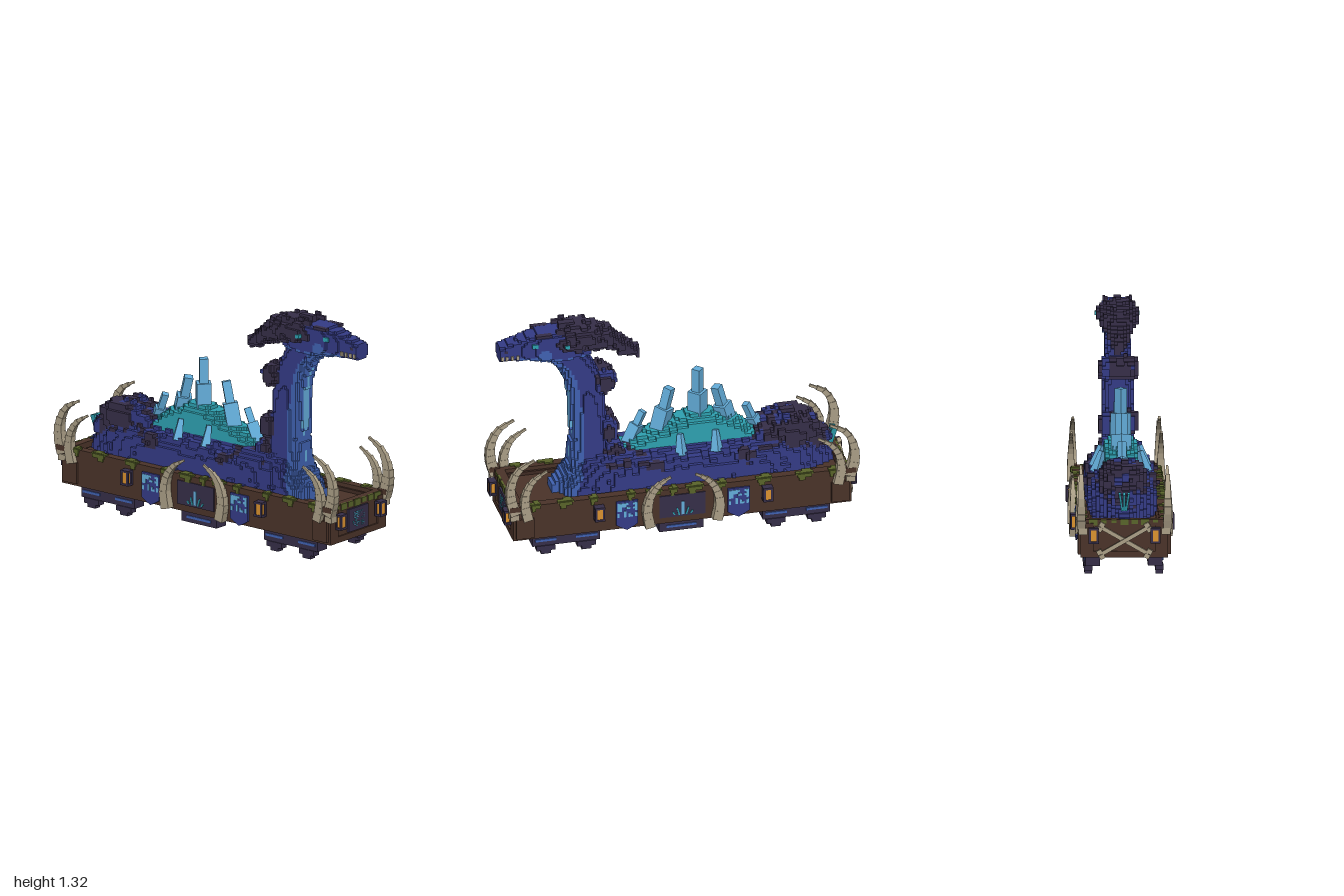
import * as THREE from 'three';

const COLORS = {
  timber: 0x4a3329, darkTimber: 0x3e2a22, slate: 0x362e48, indigo: 0x343b86, blue: 0x4062b2,
  teal: 0x2ea1b1, ice: 0x64aedb, ivory: 0xaa9e86, amber: 0xdb922f, moss: 0x59642a,
};

// Piecewise linear profile lookup: points are [t, value]
function prof(points, t) {
  if (t <= points[0][0]) return points[0][1];
  for (let i = 1; i < points.length; i++) {
    const [a, va] = points[i - 1], [b, vb] = points[i];
    if (t <= b) return va + (vb - va) * (t - a) / (b - a);
  }
  return points[points.length - 1][1];
}

// Repeatable noise in 0..1
function hash(a, b, c) {
  const s = Math.sin(a * 127.1 + b * 311.7 + c * 74.7) * 43758.5453;
  return s - Math.floor(s);
}

export function createModel() {
  const root = new THREE.Group();
  root.name = 'dragonWagon';
  const mats = {};
  for (const [name, hex] of Object.entries(COLORS)) {
    mats[name] = new THREE.MeshStandardMaterial({ color: hex });
    mats[name].name = name;
  }

  function add(geo, mat, name, parent = root) {
    const m = new THREE.Mesh(geo, mats[mat]);
    m.name = name;
    parent.add(m);
    return m;
  }
  function box(name, mat, w, h, d, x, y, z, parent = root) {
    const m = add(new THREE.BoxGeometry(w, h, d), mat, name, parent);
    m.position.set(x, y, z);
    return m;
  }

  // Blocky solid: pick(x,y,z,i,j,k) gives a colour name or null; only outer faces are made
  const FACES = [[1, 0, 0], [-1, 0, 0], [0, 1, 0], [0, -1, 0], [0, 0, 1], [0, 0, -1]].map(n => {
    const N = new THREE.Vector3(...n), U = new THREE.Vector3(n[1], n[2], n[0]), V = N.clone().cross(U);
    const corner = (a, b) => N.clone().addScaledVector(U, a).addScaledVector(V, b);
    return { n, quad: [[-1, -1], [1, -1], [1, 1], [-1, -1], [1, 1], [-1, 1]].map(c => corner(...c)) };
  });
  function blocks(name, s, min, max, pick) {
    const cells = new Map(), out = {};
    const lo = min.map(v => Math.floor(v / s)), hi = max.map(v => Math.ceil(v / s));
    for (let i = lo[0]; i <= hi[0]; i++) for (let j = lo[1]; j <= hi[1]; j++) for (let k = lo[2]; k <= hi[2]; k++) {
      const c = pick(i * s, j * s, k * s, i, j, k);
      if (c) cells.set(`${i},${j},${k}`, [i, j, k, c]);
    }
    for (const [i, j, k, c] of cells.values()) for (const { n, quad } of FACES) {
      if (cells.has(`${i + n[0]},${j + n[1]},${k + n[2]}`)) continue;
      const arr = out[c] ??= [];
      for (const q of quad) arr.push((i + q.x / 2) * s, (j + q.y / 2) * s, (k + q.z / 2) * s);
    }
    const group = new THREE.Group();
    group.name = name;
    for (const [c, arr] of Object.entries(out)) {
      const g = new THREE.BufferGeometry();
      g.setAttribute('position', new THREE.Float32BufferAttribute(arr, 3));
      g.computeVertexNormals();
      add(g, c, `${name}_${c}`, group);
    }
    root.add(group);
  }

  // ---- Wagon hull, deck and rim ----
  for (const s of [1, -1]) {
    box('sideWall', 'timber', 1.89, 0.2, 0.035, 0, 0.215, s * 0.222);
    box('sideRim', 'timber', 1.9, 0.035, 0.05, 0, 0.307, s * 0.218);
    box('endWall', 'timber', 0.035, 0.2, 0.42, s * 0.928, 0.215, 0);
    box('endRim', 'timber', 0.05, 0.035, 0.48, s * 0.922, 0.307, 0);
    for (const t of [1, -1]) {
      box('endPost', 'timber', 0.02, 0.19, 0.07, s * 0.945, 0.21, t * 0.205);
      box('cornerFoot', 'timber', 0.1, 0.12, 0.02, s * 0.89, 0.19, t * 0.245);
    }
    box('endSill', 'timber', 0.02, 0.035, 0.46, s * 0.945, 0.132, 0);
    box('innerRim', 'darkTimber', 1.8, 0.02, 0.015, 0, 0.292, s * 0.187);
  }
  box('deck', 'timber', 1.86, 0.02, 0.42, 0, 0.272, 0);

  // ---- Moss patches draped over the rim: [centre x, length] ----
  const mossSpots = [[-0.85, 0.05], [-0.69, 0.1], [-0.46, 0.09], [-0.22, 0.06], [-0.07, 0.1], [0.05, 0.05],
    [0.16, 0.09], [0.29, 0.05], [0.5, 0.05], [0.66, 0.09], [0.83, 0.06]];
  for (const s of [1, -1]) {
    for (const [x, len] of mossSpots) {
      box('mossTop', 'moss', len, 0.012, 0.025, x, 0.326, s * 0.233);
      box('mossTuft', 'moss', len * 0.5, 0.014, 0.045, x - len * 0.15, 0.326, s * 0.223);
      box('mossDrape', 'moss', len * 0.8, 0.022, 0.01, x, 0.317, s * 0.247);
      box('mossDrip', 'moss', len * 0.35, 0.04, 0.01, x + len * 0.15, 0.308, s * 0.246);
    }
    for (let i = 0; i < 7; i++) {
      const r = hash(i, s, 8);
      box('mossEnd', 'moss', 0.012, 0.014 + r * 0.03, 0.025 + r * 0.03, s * 0.945, 0.316 - r * 0.01, (i - 3) * 0.057);
    }
  }

  // ---- Undercarriage ----
  for (const s of [1, -1]) {
    box('skirtBox', 'slate', 0.25, 0.065, 0.08, 0, 0.082, s * 0.175);
    box('skirtStripe', 'blue', 0.17, 0.014, 0.006, 0, 0.08, s * 0.217);
    for (const e of [1, -1]) {
      box('bogieFrame', 'slate', 0.38, 0.07, 0.08, e * 0.65, 0.085, s * 0.172);
      for (const d of [-0.115, 0.115]) {
        const x = e * 0.65 + d;
        box('bogieStripe', 'blue', 0.12, 0.014, 0.006, x, 0.085, s * 0.215);
        box('wheelUpper', 'slate', 0.105, 0.03, 0.045, x, 0.036, s * 0.195);
        box('wheelFoot', 'slate', 0.055, 0.022, 0.04, x, 0.011, s * 0.195);
      }
    }
  }

  // ---- Lanterns, on the sides and on the ends ----
  function lantern(x, z, turn) {
    const g = new THREE.Group();
    g.name = 'lantern';
    g.position.set(x, 0.24, z);
    g.rotation.y = turn;
    root.add(g);
    for (const y of [-0.037, 0.037]) box('lanternCap', 'slate', 0.056, 0.012, 0.042, 0, y, 0, g);
    for (const a of [1, -1]) for (const b of [1, -1])
      box('lanternPost', 'slate', 0.012, 0.075, 0.01, a * 0.021, 0, b * 0.016, g);
    box('lanternGlow', 'amber', 0.034, 0.063, 0.034, 0, 0, 0, g);
  }
  for (const s of [1, -1]) for (const e of [1, -1]) {
    lantern(e * 0.475, s * 0.264, 0);
    lantern(e * 0.974, s * 0.17, Math.PI / 2);
  }

  // ---- Windows, emblems and banners on both long sides ----
  const shield = new THREE.Shape();
  [[-0.062, 0.085], [0.062, 0.085], [0.062, -0.06], [0.03, -0.08], [0, -0.095], [-0.03, -0.08], [-0.062, -0.06]]
    .forEach(([x, y], i) => i ? shield.lineTo(x, y) : shield.moveTo(x, y));
  const shieldGeo = new THREE.ExtrudeGeometry(shield, { depth: 0.01, bevelEnabled: false });
  for (const s of [1, -1]) {
    const side = new THREE.Group();
    side.name = 'sideDecor';
    side.rotation.y = s > 0 ? 0 : Math.PI;
    root.add(side);
    // Outer and inner face of the window
    for (const [z, out] of [[0.242, 1], [0.202, -1]]) {
      box('sideWindow', 'slate', 0.26, 0.135, 0.008, 0, 0.22, z, side);
      box('crystalEmblem', 'ice', 0.016, 0.08, 0.006, 0, 0.205, z + out * 0.006, side);
      for (const e of [1, -1]) {
        box('emblemShard', out > 0 ? 'teal' : 'ice', 0.008, 0.045, 0.006, e * 0.026, 0.185, z + out * 0.006, side).rotation.z = -e * 0.3;
        box('emblemSpark', 'teal', 0.008, 0.02, 0.006, e * 0.05, 0.175, z + out * 0.006, side).rotation.z = -e * 0.6;
      }
    }
    for (const x of [-0.315, 0.315]) {
      add(shieldGeo, 'indigo', 'banner', side).position.set(x, 0.205, 0.243);
      for (let i = 0; i < 9; i++) for (let j = 0; j < 8; j++) {
        const arch = Math.abs(i - 4) + Math.abs(j - 3) > 4 || j === 7;
        if (j > 0 && hash(i, j, 5) > (arch ? 0.25 : 0.6))
          box('bannerPattern', 'ice', 0.0125, 0.0125, 0.004, x + (i - 4) * 0.0125, 0.185 + j * 0.0125, 0.254, side);
      }
    }
  }

  // ---- Front end window with a speckled emblem ----
  box('endWindow', 'slate', 0.016, 0.13, 0.17, 0.95, 0.22, 0);
  for (let i = 0; i < 11; i++) for (let j = 0; j < 9; j++)
    if (hash(i, j, 2) > 0.6) box('endEmblem', i % 3 ? 'teal' : 'ice', 0.004, 0.005, 0.006, 0.959, 0.18 + j * 0.01, (i - 5) * 0.009);

  // ---- Crossed bones on the back end ----
  for (const s of [1, -1]) {
    const bone = new THREE.Group();
    bone.name = 'crossedBone';
    bone.position.set(-0.965 - s * 0.008, 0.21, 0);
    bone.rotation.x = s * 1.05;
    root.add(bone);
    box('boneShaft', 'ivory', 0.018, 0.3, 0.022, 0, 0, 0, bone);
    for (const e of [1, -1]) for (const k of [1, -1])
      box('boneKnob', 'ivory', 0.024, 0.03, 0.025, 0, e * 0.15, k * 0.014, bone);
  }

  // ---- Tusks: tapering segments along a curve ----
  function tusk(points, thick, z) {
    const curve = new THREE.CatmullRomCurve3(points.map(([x, y]) => new THREE.Vector3(x, y, z)));
    const n = 9, g = new THREE.Group();
    g.name = 'tusk';
    root.add(g);
    for (let i = 0; i < n; i++) {
      const a = curve.getPoint(i / n), b = curve.getPoint((i + 1) / n);
      const w = thick * (1 - 0.75 * Math.pow(i / (n - 1), 1.5));
      const m = box('tuskSegment', 'ivory', w, a.distanceTo(b) + 0.012, w * 0.8, 0, 0, 0, g);
      m.position.copy(a).lerp(b, 0.5);
      m.quaternion.setFromUnitVectors(new THREE.Vector3(0, 1, 0), b.clone().sub(a).normalize());
    }
  }
  for (const s of [1, -1]) for (const e of [1, -1]) {
    const mir = pts => pts.map(([x, y]) => [x * e, y]);
    tusk(mir([[0.945, 0.29], [0.968, 0.37], [0.968, 0.46], [0.925, 0.55], [0.84, 0.6]]), 0.06, s * 0.237);
    tusk(mir([[0.875, 0.25], [0.892, 0.33], [0.885, 0.41], [0.845, 0.48], [0.77, 0.53]]), 0.054, s * 0.247);
    tusk(mir([[0.19, 0.125], [0.205, 0.22], [0.185, 0.31], [0.14, 0.37], [0.075, 0.41]]), 0.055, s * 0.261);
    box('tuskCuff', 'timber', 0.06, 0.03, 0.05, e * 0.948, 0.32, s * 0.237);
    box('tuskSocket', 'ivory', 0.05, 0.035, 0.05, e * 0.948, 0.262, s * 0.228);
  }

  // ---- Body lying along the deck ----
  const bodyW = [[-0.92, 0.03], [-0.85, 0.07], [-0.7, 0.14], [-0.5, 0.185], [-0.3, 0.195], [0.3, 0.195], [0.45, 0.17], [0.6, 0.11], [0.67, 0.05]];
  const bodyH = [[-0.92, 0.34], [-0.8, 0.42], [-0.7, 0.5], [-0.5, 0.51], [0.2, 0.51], [0.35, 0.53], [0.5, 0.5], [0.6, 0.42], [0.67, 0.34]];
  blocks('body', 0.02, [-0.92, 0.26, -0.2], [0.67, 0.56, 0.2], (x, y, z, i, j, k) => {
    const t = (y - 0.25) / (prof(bodyH, x) - 0.25);
    const r = t ** 4 + Math.abs(z / prof(bodyW, x)) ** 3 + (hash(i >> 1, j, k >> 1) - 0.5) * 0.22;
    if (r > 1) return null;
    if (x > 0.53 && y < 0.46) return 'blue';
    const ridge = (x > 0.16 && x < 0.42) || (x < -0.42 && x > -0.8);
    return ridge && t > 0.75 && hash(i >> 1, j >> 1, k >> 1) > 0.5 ? 'slate' : 'indigo';
  });

  // ---- Neck with pale belly and a narrow glowing centre stripe ----
  const neckF = [[0.33, 0.64], [0.42, 0.595], [0.6, 0.575], [0.8, 0.58], [0.95, 0.6], [1.05, 0.645], [1.1, 0.7], [1.14, 0.8]];
  const neckB = [[0.33, 0.35], [0.6, 0.375], [0.85, 0.39], [1, 0.425], [1.1, 0.47], [1.2, 0.52]];
  const neckW = [[0.33, 0.15], [0.42, 0.12], [0.5, 0.09], [0.9, 0.08], [1.1, 0.068]];
  blocks('neck', 0.016, [0.34, 0.3, -0.16], [0.8, 1.15, 0.16], (x, y, z) => {
    const f = prof(neckF, y), b = prof(neckB, y);
    const u = (x - (f + b) / 2) / ((f - b) / 2), v = z / prof(neckW, y);
    if (Math.abs(u) ** 3 + Math.abs(v) ** 3 > 1) return null;
    const stripe = Math.abs(z) < (y > 0.66 && y < 0.9 ? 0.017 : 0.01) && ((y > 0.62 && y < 1.02) || (y > 0.47 && y < 0.53));
    if (u > 0.5 && stripe) return 'ice';
    return u > 0.45 ? 'blue' : 'indigo';
  });

  // ---- Head ----
  const headT = [[0.48, 1.24], [0.6, 1.285], [0.74, 1.285], [0.85, 1.255], [0.98, 1.218]];
  const headB = [[0.48, 1.12], [0.62, 1.1], [0.75, 1.118], [0.85, 1.132], [0.98, 1.135]];
  const headW = [[0.48, 0.07], [0.62, 0.09], [0.75, 0.082], [0.85, 0.061], [0.98, 0.047]];
  blocks('head', 0.015, [0.48, 1.08, -0.1], [0.975, 1.3, 0.1], (x, y, z) => {
    const t = prof(headT, x), b = prof(headB, x);
    const v = (y - (t + b) / 2) / ((t - b) / 2);
    if (Math.abs(v) ** 4 + Math.abs(z / prof(headW, x)) ** 4 > 1) return null;
    const cheek = ((x - 0.735) / 0.045) ** 2 + ((y - 1.16) / 0.03) ** 2 < 1;
    return cheek || (v < -0.75 && x < 0.88) ? 'blue' : 'indigo';
  });
  box('crownKnob', 'slate', 0.09, 0.04, 0.04, 0.6, 1.298, 0);
  for (const s of [1, -1]) {
    box('eye', 'teal', 0.034, 0.024, 0.012, 0.79, 1.225, s * 0.077);
    box('earGem', 'teal', 0.026, 0.02, 0.03, 0.62, 1.22, s * 0.108);
    box('nostril', 'slate', 0.02, 0.014, 0.01, 0.95, 1.195, s * 0.048);
    box('brow', 'slate', 0.09, 0.016, 0.03, 0.74, 1.275, s * 0.062);
    box('browHorn', 'slate', 0.06, 0.03, 0.018, 0.64, 1.29, s * 0.062);
    box('browHornTip', 'slate', 0.035, 0.022, 0.014, 0.61, 1.308, s * 0.073);
    for (const x of [0.885, 0.915, 0.945, 0.97])
      box('tooth', 'ivory', 0.015, 0.024, 0.012, x, 1.156, s * (0.057 - (x - 0.88) * 0.09));
  }

  // ---- Swept-back crest ----
  const crestY = [[0.2, 1.09], [0.3, 1.145], [0.36, 1.195], [0.5, 1.23], [0.66, 1.22]];
  const crestH = [[0.2, 0.032], [0.3, 0.05], [0.4, 0.07], [0.5, 0.076], [0.6, 0.072], [0.66, 0.04]];
  const crestW = [[0.2, 0.035], [0.3, 0.06], [0.4, 0.09], [0.5, 0.115], [0.62, 0.115], [0.66, 0.09]];
  blocks('crest', 0.018, [0.2, 1.04, -0.13], [0.66, 1.31, 0.13], (x, y, z, i, j, k) => {
    const r = ((y - prof(crestY, x)) / prof(crestH, x)) ** 2 + Math.abs(z / prof(crestW, x)) ** 3;
    return r + (hash(i >> 1, j >> 1, k >> 1) - 0.5) * 0.6 < 1 ? 'slate' : null;
  });

  // ---- Rough scale clumps: [x, y, z, rx, ry, rz] ----
  const clumps = [
    [-0.65, 0.5, 0, 0.16, 0.1, 0.13], [-0.8, 0.43, 0, 0.08, 0.07, 0.09], [-0.5, 0.5, 0, 0.06, 0.06, 0.12],
    [0.4, 0.95, 0, 0.065, 0.065, 0.115], [0.375, 0.65, 0, 0.055, 0.07, 0.115], [0.35, 0.52, 0, 0.055, 0.055, 0.12],
  ];
  for (const s of [1, -1]) clumps.push([-0.37, 0.44, s * 0.17, 0.05, 0.05, 0.03], [0.13, 0.44, s * 0.17, 0.05, 0.04, 0.03]);
  for (const [cx, cy, cz, rx, ry, rz] of clumps)
    blocks('scaleClump', 0.02, [cx - rx, cy - ry, cz - rz], [cx + rx, cy + ry, cz + rz], (x, y, z, i, j, k) => {
      const r = ((x - cx) / rx) ** 2 + ((y - cy) / ry) ** 2 + ((z - cz) / rz) ** 4;
      if (r + (hash(i >> 1, j >> 1, k >> 1) - 0.5) * 0.5 > 1) return null;
      return hash(i >> 1, k >> 1, 9) > 0.8 ? 'indigo' : 'slate';
    });

  // ---- Teal crystal mound and tall crystals ----
  const mound = [[-0.53, 0.47], [-0.45, 0.54], [-0.35, 0.61], [-0.2, 0.675], [-0.1, 0.675], [0.05, 0.615], [0.2, 0.57], [0.34, 0.5]];
  blocks('crystalMound', 0.02, [-0.52, 0.44, -0.1], [0.33, 0.68, 0.1], (x, y, z) =>
    y < prof(mound, x) - 0.05 * (z / 0.09) ** 2 && Math.abs(z) < 0.09 ? 'teal' : null);
  function crystal(x0, y0, x1, y1, w) {
    const a = new THREE.Vector3(x0, y0, 0), d = new THREE.Vector3(x1, y1, 0).sub(a), len = d.length();
    const g = new THREE.Group();
    g.name = 'crystal';
    g.position.copy(a);
    g.quaternion.setFromUnitVectors(new THREE.Vector3(0, 1, 0), d.normalize());
    root.add(g);
    box('crystalBase', 'ice', w, len * 0.6, w, 0, len * 0.3, 0, g).rotation.y = Math.PI / 4;
    box('crystalTip', 'ice', w * 0.6, len, w * 0.6, 0, len / 2, 0, g).rotation.y = Math.PI / 4;
  }
  crystal(-0.145, 0.58, -0.145, 0.925, 0.08);
  crystal(-0.325, 0.52, -0.25, 0.8, 0.08);
  crystal(0.085, 0.53, 0.015, 0.825, 0.08);
  crystal(0.25, 0.51, 0.165, 0.7, 0.062);
  crystal(-0.5, 0.46, -0.415, 0.67, 0.06);
  for (const s of [1, -1]) for (const x of [-0.22, -0.02]) {
    const shard = add(new THREE.CylinderGeometry(0.018, 0.036, 0.12, 4).toNonIndexed(), 'ice', 'sideShard');
    shard.geometry.computeVertexNormals();
    shard.position.set(x, 0.53, s * 0.12);
    shard.rotation.x = -s * 0.28;
  }

  // ---- Tail fin blades ----
  for (const [z, tilt] of [[0, 0.4], [0.018, 0.25], [-0.018, 0.25]])
    box('tailFin', 'teal', 0.03, 0.1, 0.012, -0.9, 0.415, z).rotation.set(z * 8, 0, tilt);
  return root;
}
